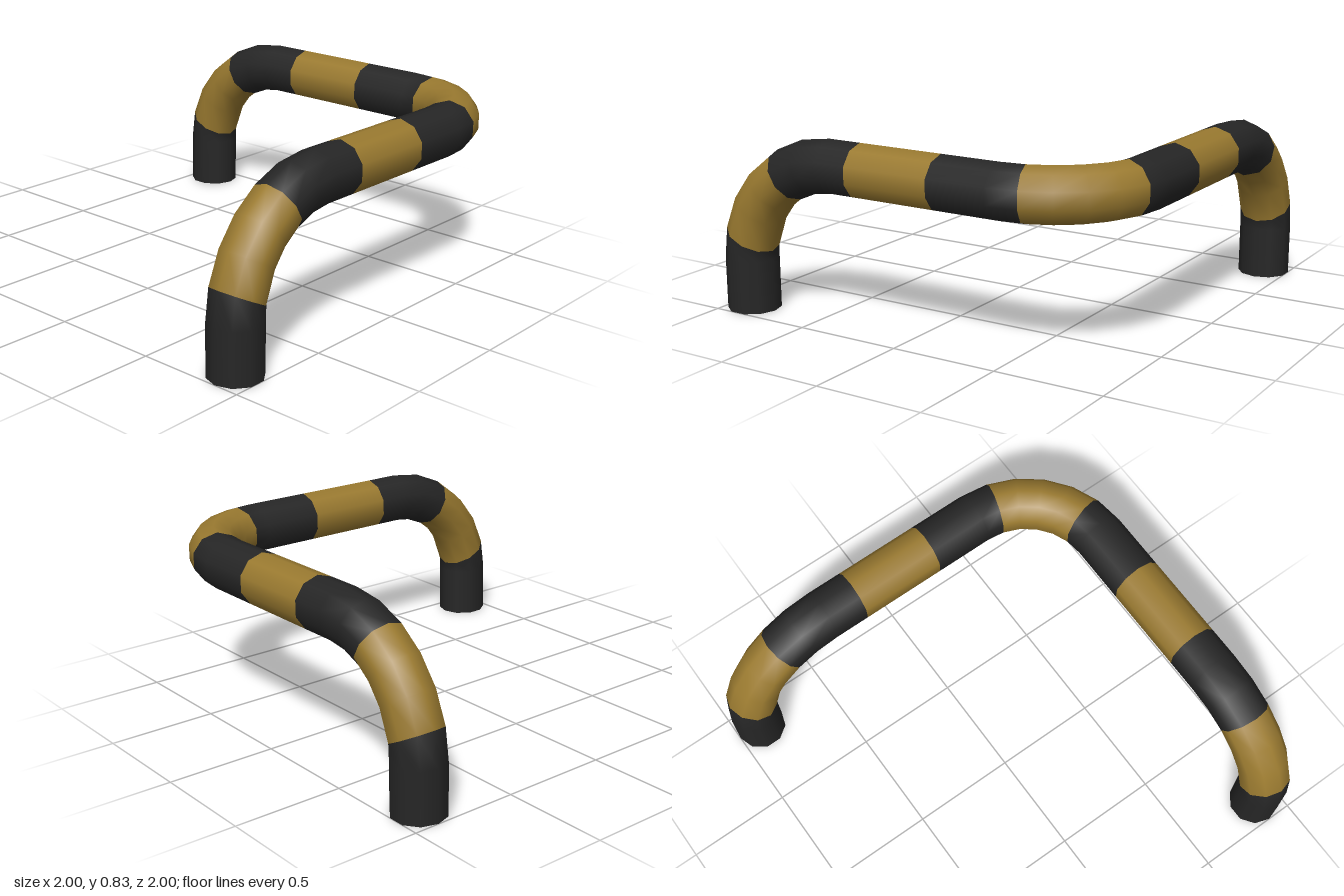
import * as THREE from 'three';

const SIDES = 10, R = 0.1215;
const X0 = -0.8785, X1 = 0.8845, Z0 = -0.8845, Z1 = 0.8785, Y = 0.713;
const BEND = 0.475, CORNER = 0.425, STEP = Math.PI / 12;
const V = (x, y, z) => new THREE.Vector3(x, y, z);

// Centre-line stations: position p, ring axes u and v, tangent t, slant of the ring
function buildStations() {
  const list = [];
  const add = (p, t, u, slant = 0) =>
    list.push({ p, t, u, v: V().crossVectors(t, u), slant });

  // first leg, bending from vertical towards +x
  add(V(X0, 0, Z0), V(0, 1, 0), V(-1, 0, 0));
  for (let i = 0; i <= 6; i++) {
    const c = Math.cos(i * STEP), s = Math.sin(i * STEP);
    add(V(X0 + BEND * (1 - c), Y - BEND * (1 - s), Z0), V(s, c, 0), V(-c, s, 0), i === 1 ? -0.05 : 0);
  }
  // back rail
  for (const x of [-0.232, 0.18]) add(V(x, Y, Z0), V(1, 0, 0), V(0, 1, 0));
  // horizontal corner
  for (let i = 0; i <= 6; i++) {
    const c = Math.cos(i * STEP), s = Math.sin(i * STEP);
    add(V(X1 - CORNER * (1 - s), Y, Z0 + CORNER * (1 - c)), V(c, 0, s), V(0, 1, 0));
  }
  // side rail
  for (const z of [-0.175, 0.242]) add(V(X1, Y, z), V(0, 0, 1), V(0, 1, 0));
  // second leg, bending down
  for (let i = 6; i >= 0; i--) {
    const c = Math.cos(i * STEP), s = Math.sin(i * STEP);
    add(V(X1, Y - BEND * (1 - s), Z1 - BEND * (1 - c)), V(0, -c, s), V(0, s, c), i === 1 ? 0.05 : 0);
  }
  add(V(X1, 0, Z1), V(0, -1, 0), V(0, 0, 1));
  return list;
}

// Smooth tube skin over a run of stations
function skin(stations) {
  const pos = [], nor = [], idx = [], row = SIDES + 1;
  stations.forEach(({ p, t, u, v, slant }, k) => {
    for (let j = 0; j <= SIDES; j++) {
      const a = (j / SIDES) * Math.PI * 2;
      const n = u.clone().multiplyScalar(Math.cos(a)).addScaledVector(v, Math.sin(a));
      const q = p.clone().addScaledVector(n, R).addScaledVector(t, slant * (1 - Math.cos(a)) / 2);
      pos.push(q.x, q.y, q.z);
      nor.push(n.x, n.y, n.z);
      if (k > 0 && j < SIDES) {
        const b = k * row + j, d = b - row;
        idx.push(d, d + 1, b, d + 1, b + 1, b);
      }
    }
  });
  const g = new THREE.BufferGeometry();
  g.setAttribute('position', new THREE.Float32BufferAttribute(pos, 3));
  g.setAttribute('normal', new THREE.Float32BufferAttribute(nor, 3));
  g.setIndex(idx);
  return g;
}

export function createModel() {
  const black = new THREE.MeshStandardMaterial({ color: 0x262626 });
  black.name = 'black';
  const yellow = new THREE.MeshStandardMaterial({ color: 0x9a7a30 });
  yellow.name = 'ochre yellow';

  const group = new THREE.Group();
  group.name = 'cornerGuardRail';
  const stations = buildStations();

  // alternating stripes, cut at these stations
  const cuts = [0, 2, 5, 8, 9, 11, 15, 17, 18, 21, 24, stations.length - 1];
  for (let i = 0; i + 1 < cuts.length; i++) {
    const mesh = new THREE.Mesh(skin(stations.slice(cuts[i], cuts[i + 1] + 1)), i % 2 ? yellow : black);
    mesh.name = (i % 2 ? 'yellowStripe' : 'blackStripe') + (i + 1);
    group.add(mesh);
  }

  // closed feet
  [[X0, Z0, 0], [X1, Z1, Math.PI / 2]].forEach(([x, z, turn], i) => {
    const foot = new THREE.Mesh(
      new THREE.CircleGeometry(R, SIDES).rotateX(Math.PI / 2).rotateY(turn), black);
    foot.position.set(x, 0, z);
    foot.name = 'footCap' + (i + 1);
    group.add(foot);
  });
  return group;
}
